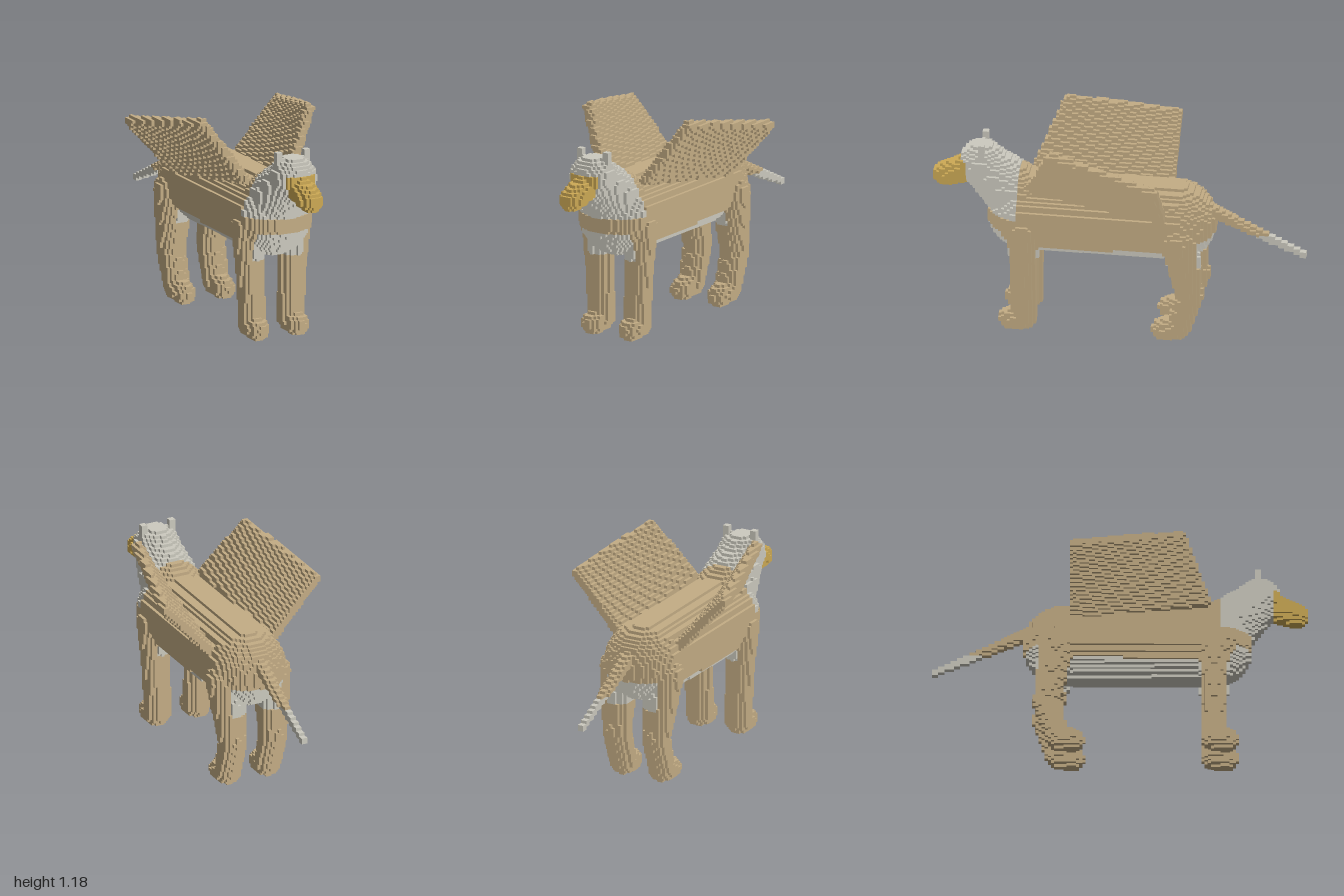
import * as THREE from 'three';

const H = 1 / 60; // cube size
const OFF = 128;
const key = (i, j, k) => ((i + OFF) * 256 + j + OFF) * 256 + k + OFF;
const mix = (a, b, t) => a.map((v, n) => v + (b[n] - v) * t);

// Six cube sides: outward direction and two edge directions (u x v = n)
const SIDES = [];
for (let a = 0; a < 3; a++) {
  for (const s of [1, -1]) {
    const n = [0, 0, 0], u = [0, 0, 0], v = [0, 0, 0];
    n[a] = s;
    u[(a + (s > 0 ? 1 : 2)) % 3] = 1;
    v[(a + (s > 0 ? 2 : 1)) % 3] = 1;
    SIDES.push({ n, u, v });
  }
}

export function createModel() {
  const mats = {
    tan: new THREE.MeshStandardMaterial({ color: 0xc4ad85 }),
    white: new THREE.MeshStandardMaterial({ color: 0xcccabf }),
    gold: new THREE.MeshStandardMaterial({ color: 0xcdaa55 }),
  };
  for (const name in mats) mats[name].name = name;

  const cells = new Map();

  // Fill every cube whose centre lies inside a ball; the first part keeps a cube
  function ball(part, [x, y, z], r) {
    const lo = (c) => Math.floor((c - r) / H), hi = (c) => Math.ceil((c + r) / H);
    for (let i = lo(x); i <= hi(x); i++)
      for (let j = Math.max(0, lo(y)); j <= hi(y); j++)
        for (let k = lo(z); k <= hi(z); k++) {
          const d = Math.hypot((i + 0.5) * H - x, (j + 0.5) * H - y, (k + 0.5) * H - z);
          const id = key(i, j, k);
          if (d <= r && !cells.has(id)) cells.set(id, { p: [i, j, k], part });
        }
  }

  // Tapered limb through points [x, y, z, radius]
  function limb(part, ...pts) {
    for (let s = 0; s < pts.length - 1; s++) {
      for (let t = 0; t <= 80; t++) {
        const q = mix(pts[s], pts[s + 1], t / 80);
        ball(part, q.slice(0, 3), q[3]);
      }
    }
  }

  // Body, neck and head
  limb('torso', [0, 0.655, 0.5, 0.208], [0, 0.66, -0.31, 0.206]);
  limb('neck', [0, 0.72, 0.52, 0.17], [0, 0.9, 0.72, 0.12]);
  ball('head', [0, 0.92, 0.74], 0.121);
  limb('beak', [0, 0.875, 0.83, 0.07], [0, 0.838, 0.942, 0.06]);
  limb('tail', [0, 0.76, -0.42, 0.036], [0, 0.5, -0.985, 0.018]);

  for (const [s, side] of [[1, 'left'], [-1, 'right']]) {
    limb(side + 'Ear', [s * 0.0833, 0.98, 0.733, 0.02], [s * 0.0833, 1.045, 0.733, 0.02]);

    // Legs end in a forward paw
    limb(side + 'FrontLeg',
      [s * 0.138, 0.61, 0.5, 0.085], [s * 0.125, 0.35, 0.5, 0.07],
      [s * 0.118, 0.07, 0.5, 0.066], [s * 0.12, 0.055, 0.575, 0.056]);
    limb(side + 'HindLeg',
      [s * 0.134, 0.61, -0.335, 0.1], [s * 0.12, 0.27, -0.392, 0.07],
      [s * 0.118, 0.07, -0.33, 0.064], [s * 0.12, 0.055, -0.245, 0.056]);

    // Raised wing: a thin sheet between root and tip edges
    const root = [[s * 0.14, 0.86, 0.455], [s * 0.185, 0.76, -0.245]];
    const tip = [[s * 0.322, 1.155, 0.325], [s * 0.445, 1.05, -0.24]];
    for (let a = 0; a <= 80; a++) {
      const from = mix(root[0], root[1], a / 80), to = mix(tip[0], tip[1], a / 80);
      for (let b = 0; b <= 50; b++) ball(side + 'Wing', mix(from, to, b / 50), 0.026);
    }
  }

  // Colour regions: gold beak, white head, neck and belly
  function colourOf(x, y, z) {
    if (z > 0.82 && y < 0.945) return 'gold';
    if (z > 0.53 && y > 0.69) return 'white';
    if (y > 0.433 && y < 0.6 && Math.abs(x) < 0.15) return 'white';
    return 'tan';
  }

  // Collect the exposed cube sides of each part and colour
  const parts = new Map();
  for (const { p, part } of cells.values()) {
    const colour = colourOf(...p.map((c) => (c + 0.5) * H));
    if (!parts.has(part)) parts.set(part, {});
    const buckets = parts.get(part);
    const out = (buckets[colour] ??= { pos: [], nor: [], idx: [] });
    for (const { n, u, v } of SIDES) {
      if (cells.has(key(p[0] + n[0], p[1] + n[1], p[2] + n[2]))) continue;
      const base = out.pos.length / 3;
      for (const [a, b] of [[0, 0], [1, 0], [1, 1], [0, 1]]) {
        for (let c = 0; c < 3; c++) {
          out.pos.push((p[c] + Math.max(0, n[c]) + a * u[c] + b * v[c]) * H);
        }
        out.nor.push(...n);
      }
      out.idx.push(base, base + 1, base + 2, base, base + 2, base + 3);
    }
  }

  const model = new THREE.Group();
  model.name = 'wingedBeast';
  for (const [part, buckets] of parts) {
    const group = new THREE.Group();
    group.name = part;
    for (const colour in buckets) {
      const { pos, nor, idx } = buckets[colour];
      if (!idx.length) continue;
      const geo = new THREE.BufferGeometry();
      geo.setAttribute('position', new THREE.Float32BufferAttribute(pos, 3));
      geo.setAttribute('normal', new THREE.Float32BufferAttribute(nor, 3));
      geo.setIndex(idx);
      const mesh = new THREE.Mesh(geo, mats[colour]);
      mesh.name = `${part} ${colour}`;
      group.add(mesh);
    }
    model.add(group);
  }
  return model;
}
